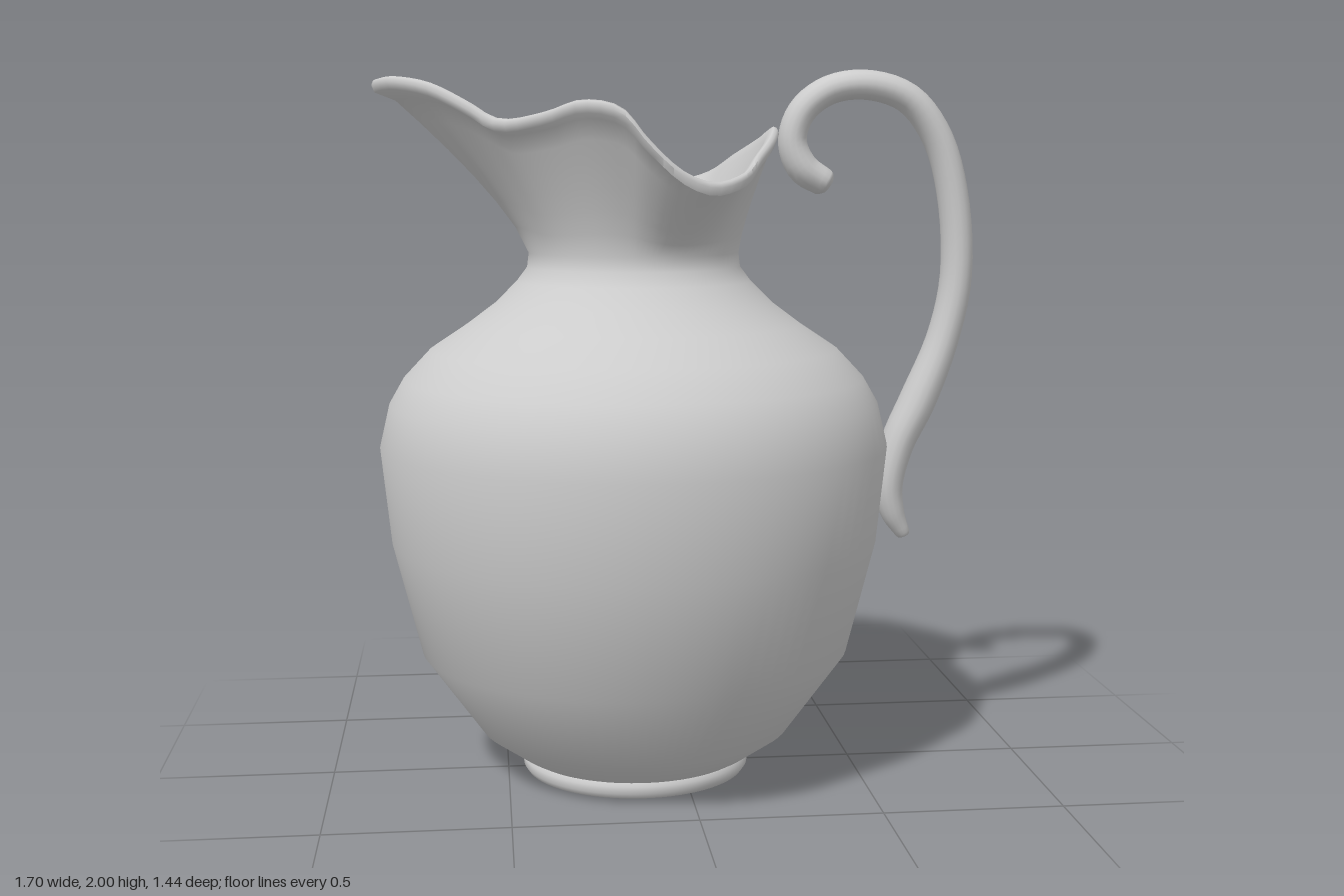
import * as THREE from 'three';
import { toCreasedNormals } from 'three/addons/utils/BufferGeometryUtils.js';

const V = (x, y, z) => new THREE.Vector3(x, y, z);
const AXIS = -0.13; // x of the body's axis

// Skin a list of closed rings, each with the same number of points
function loft(rings, crease) {
  const n = rings[0].length, index = [];
  for (let i = 0; i < rings.length - 1; i++) {
    for (let j = 0; j < n; j++) {
      const k = (j + 1) % n;
      const a = i * n + j, b = i * n + k, c = a + n, d = b + n;
      index.push(a, c, b, b, c, d);
    }
  }
  const g = new THREE.BufferGeometry().setFromPoints(rings.flat());
  g.setIndex(index);
  g.computeVertexNormals();
  return crease ? toCreasedNormals(g, crease) : g;
}

// Wavy rim with a spout, half of it listed from handle to spout and mirrored
function rimPoints(count) {
  const half = [
    [0.28, 1.84, 0], [0.255, 1.81, 0.11], [0.2, 1.765, 0.25], [0.13, 1.71, 0.4],
    [0.04, 1.69, 0.47], [-0.04, 1.72, 0.488], [-0.13, 1.8, 0.488], [-0.2, 1.88, 0.47],
    [-0.3, 1.9, 0.425], [-0.4, 1.87, 0.36], [-0.52, 1.855, 0.285], [-0.6, 1.9, 0.245],
    [-0.7, 1.95, 0.19], [-0.8, 1.97, 0.105], [-0.85, 1.965, 0],
  ];
  const other = half.slice(1, -1).reverse().map(([x, y, z]) => [x, y, -z]);
  const curve = new THREE.CatmullRomCurve3([...half, ...other].map(p => V(...p)), true);
  return curve.getSpacedPoints(count).slice(0, count);
}

function jugGeometry() {
  const columns = rimPoints(96).map(p => ({
    angle: Math.atan2(p.z, p.x - AXIS), reach: Math.hypot(p.x - AXIS, p.z), top: p.y,
  }));
  const at = (c, r, y) => V(AXIS + r * Math.cos(c.angle), y, r * Math.sin(c.angle));
  const circle = ([r, y]) => columns.map(c => at(c, r, y));
  // Ring between the round neck (t = 0) and the rim (t = 1)
  const flare = (t, inset, drop = 0) => columns.map(c => at(c,
    THREE.MathUtils.lerp(0.295, c.reach, t ** 1.3) - inset,
    THREE.MathUtils.lerp(1.49, c.top, t) - drop));

  const outside = [
    [0, 0], [0.315, 0], [0.325, 0.015], [0.325, 0.035], [0.318, 0.045], [0.345, 0.06],
    [0.445, 0.13], [0.61, 0.36], [0.69, 0.68], [0.718, 0.95], [0.69, 1.07], [0.65, 1.14],
    [0.575, 1.22], [0.47, 1.29], [0.39, 1.35], [0.33, 1.41], [0.3, 1.45],
  ];
  const inside = [
    [0.27, 1.45], [0.3, 1.4], [0.36, 1.33], [0.55, 1.2], [0.65, 1.07], [0.68, 0.95],
    [0.65, 0.68], [0.57, 0.36], [0.4, 0.15], [0.3, 0.07], [0, 0.06],
  ];
  const steps = [0, 0.15, 0.3, 0.45, 0.6, 0.75, 0.88];
  return loft([
    ...outside.map(circle),
    ...steps.map(t => flare(t, 0)),
    flare(1, 0.008, 0.035), flare(1, 0, 0.015), flare(1, 0.005, 0.003), // rolled lip
    flare(1, 0.015), flare(1, 0.028, 0.01),
    ...steps.slice().reverse().map(t => flare(t, 0.027)),
    ...inside.map(circle),
  ], 1.0);
}

function handleGeometry() {
  // x, y and half thickness, from the curl by the rim down to the tip
  const path = [
    [0.41, 1.685, 0.04], [0.35, 1.725, 0.045], [0.32, 1.8, 0.041], [0.345, 1.88, 0.041],
    [0.42, 1.94, 0.041], [0.53, 1.957, 0.042], [0.65, 1.92, 0.043], [0.735, 1.815, 0.043],
    [0.785, 1.65, 0.044], [0.8, 1.42, 0.045], [0.765, 1.24, 0.046], [0.695, 1.06, 0.052],
    [0.635, 0.93, 0.048], [0.61, 0.81, 0.043], [0.625, 0.73, 0.035], [0.655, 0.67, 0.022],
  ];
  const curve = new THREE.CatmullRomCurve3(path.map(([x, y]) => V(x, y, 0)));
  const radii = new THREE.CatmullRomCurve3(path.map(([, , r], i) => V(i, r, 0)));
  const ring = (t, scale, shift) => {
    const p = curve.getPoint(t), d = curve.getTangent(t), r = radii.getPoint(t).y * scale;
    p.addScaledVector(d, shift);
    return Array.from({ length: 16 }, (_, j) => {
      const a = j / 16 * Math.PI * 2, c = r * Math.cos(a);
      return V(p.x + d.y * c, p.y - d.x * c, 1.3 * r * Math.sin(a));
    });
  };
  const rings = [ring(0, 0, -0.022), ring(0, 0.6, -0.018), ring(0, 0.9, -0.008)];
  for (let i = 0; i <= 70; i++) rings.push(ring(i / 70, 1, 0));
  rings.push(ring(1, 0.8, 0.01), ring(1, 0, 0.016));
  return loft(rings);
}

export function createModel() {
  const group = new THREE.Group();
  group.name = 'pitcher';
  const material = new THREE.MeshStandardMaterial({ color: 0xcccccc });
  const add = (name, geometry) => {
    const mesh = new THREE.Mesh(geometry, material);
    mesh.name = name;
    group.add(mesh);
  };
  add('jugBody', jugGeometry());
  add('handle', handleGeometry());
  return group;
}
